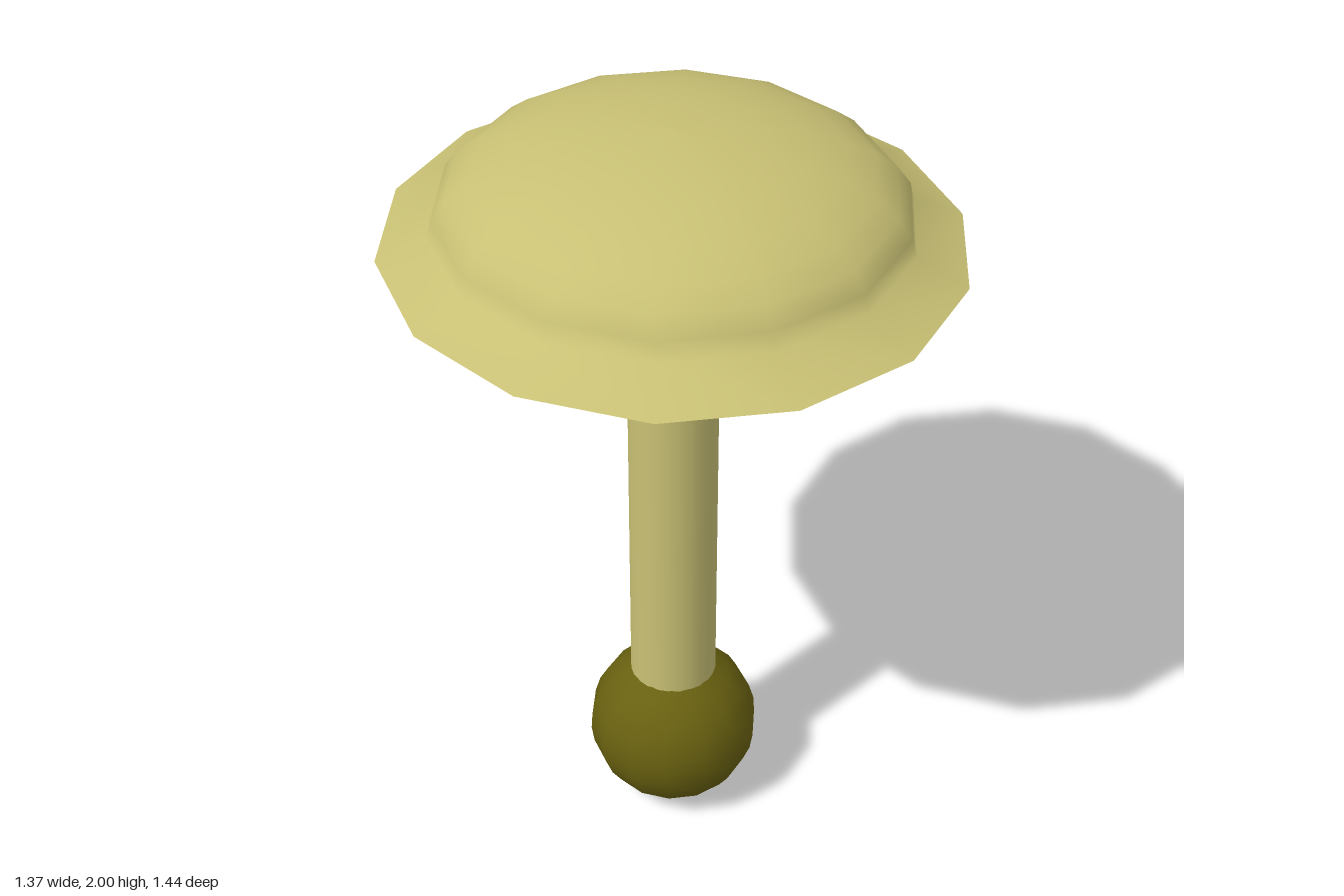
import * as THREE from 'three';

const SIDES = 14;

// Turned part with a corner on the x axis
function turned(name, points, sides, color) {
  const geometry = new THREE.LatheGeometry(points, sides, Math.PI / 2);
  const material = new THREE.MeshStandardMaterial({ color, side: THREE.DoubleSide });
  const mesh = new THREE.Mesh(geometry, material);
  mesh.name = name;
  return mesh;
}

export function createModel() {
  const group = new THREE.Group();
  group.name = 'pin';
  const pale = 0xc8c074, dark = 0x686010;

  // Hollow cap: flared rim below an elliptical dome, slightly deeper than wide
  const capProfile = [new THREE.Vector2(0.685, 1.72)];
  for (let i = 0; i <= 8; i++) {
    const a = (i / 8) * Math.PI / 2;
    capProfile.push(new THREE.Vector2(0.565 * Math.cos(a), 1.77 + 0.23 * Math.sin(a)));
  }
  const cap = turned('cap', capProfile, SIDES, pale);
  const pos = cap.geometry.attributes.position;
  for (let i = 0; i < pos.count; i++) {
    const stretch = pos.getY(i) < 1.75 ? 1.08 : 1.045;
    pos.setZ(i, pos.getZ(i) * stretch);
  }
  group.add(cap);

  // Straight stem from the ball up into the dome
  const stem = turned('stem', [new THREE.Vector2(0.112, 0.4), new THREE.Vector2(0.112, 1.985)], 24, pale);
  group.add(stem);

  // Ball at the foot, open where the stem enters
  const ballProfile = [];
  for (let i = 0; i <= 12; i++) {
    const a = (i / 12) * Math.PI * 5 / 6;
    ballProfile.push(new THREE.Vector2(0.222 * Math.sin(a), 0.222 - 0.222 * Math.cos(a)));
  }
  group.add(turned('ball', ballProfile, SIDES, dark));

  return group;
}
